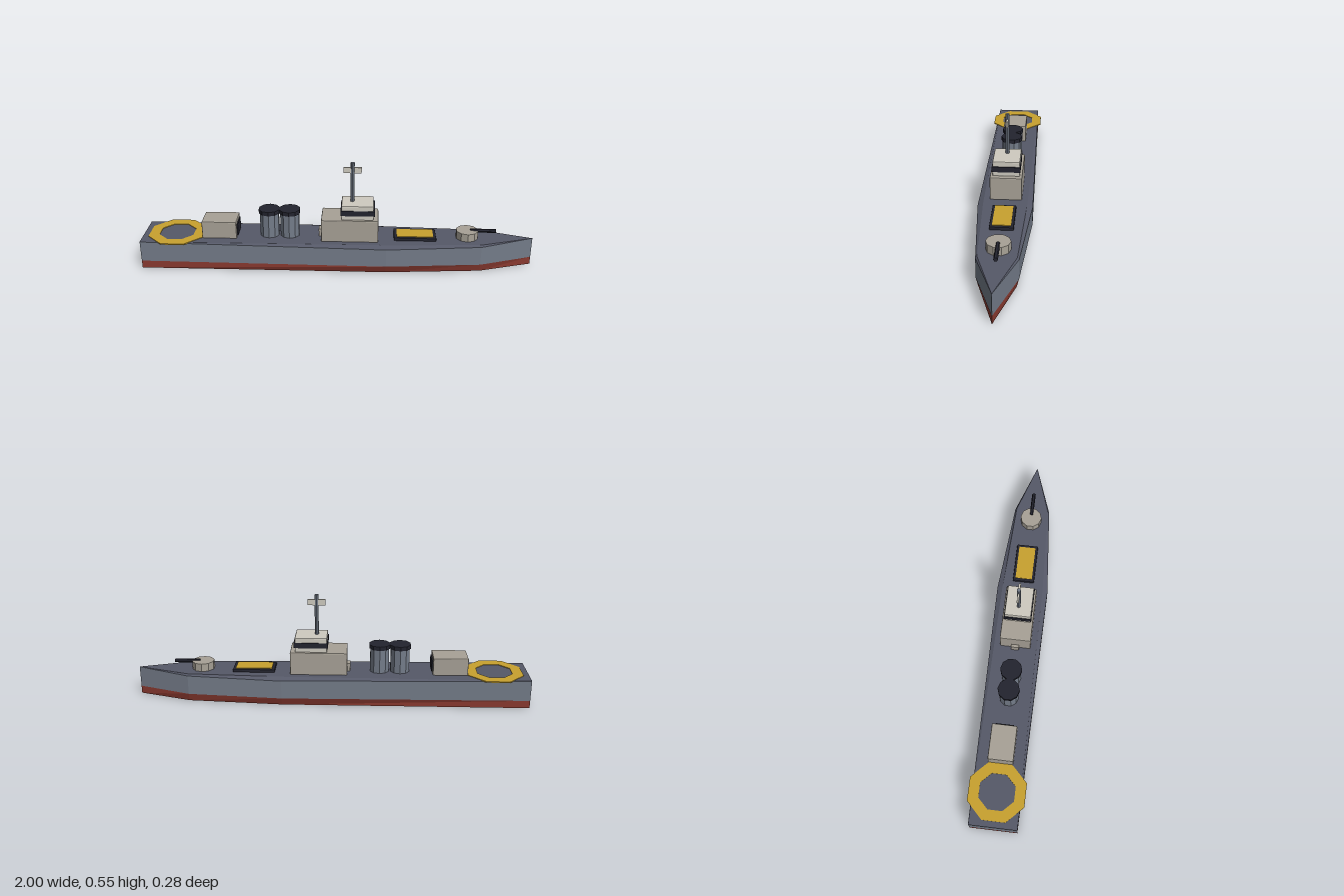
import * as THREE from 'three';
import { RoundedBoxGeometry } from 'three/addons/geometries/RoundedBoxGeometry.js';

const paint = (name, color) => {
  const m = new THREE.MeshStandardMaterial({ color });
  m.name = name;
  return m;
};

export function createModel() {
  const ship = new THREE.Group();
  ship.name = 'ship';

  const hullGrey = paint('hull grey', 0x747c89);
  const deckGrey = paint('deck grey', 0x565968);
  const red = paint('keel red', 0x8a3a30);
  const stone = paint('superstructure stone', 0xa8a297);
  const pale = paint('bridge pale', 0xcfcbc0);
  const dark = paint('dark trim', 0x23242f);
  const gold = paint('gold', 0xc9a22f);

  // Facet a geometry and add it as a named part
  const add = (name, geometry, material, x = 0, y = 0, z = 0) => {
    const g = geometry.index ? geometry.toNonIndexed() : geometry;
    g.computeVertexNormals();
    const mesh = new THREE.Mesh(g, material);
    mesh.name = name;
    mesh.position.set(x, y, z);
    ship.add(mesh);
    return mesh;
  };

  // Box given by its x and y ranges and its half width
  const box = (name, mat, x0, x1, y0, y1, half, bevel = 0.005) =>
    add(name, bevel
      ? new RoundedBoxGeometry(x1 - x0, y1 - y0, half * 2, 1, bevel)
      : new THREE.BoxGeometry(x1 - x0, y1 - y0, half * 2),
    mat, (x0 + x1) / 2, (y0 + y1) / 2);

  // Upright cylinder from y0 to y1
  const drum = (name, mat, x, y0, y1, r, sides) =>
    add(name, new THREE.CylinderGeometry(r, r, y1 - y0, sides), mat, x, (y0 + y1) / 2);

  // Quads between matching rows of points
  const surface = (name, mat, ...bands) => {
    const pts = [];
    for (const [a, b] of bands) {
      for (let i = 0; i < a.length - 1; i++) {
        pts.push(a[i], a[i + 1], b[i + 1], a[i], b[i + 1], b[i]);
      }
    }
    add(name, new THREE.BufferGeometry().setFromPoints(pts), mat);
  };

  // Hull stations from stern to bow
  const xs = [-1, 0.25, 0.73, 1];
  const row = (halves, heights) =>
    xs.map((x, i) => new THREE.Vector3(x, heights[i], halves[i]));
  const flip = (r) => r.map((p) => new THREE.Vector3(p.x, p.y, -p.z));
  const sides = (a, b) => [[a, b], [flip(b), flip(a)]];
  const transom = (a, b) =>
    [[flip(a)[0], a[0]], [flip(b)[0], b[0]]];

  const keel = row([0.12, 0.12, 0.085, 0], [0, 0, 0, 0]);
  const water = row([0.12, 0.135, 0.095, 0], [0.04, 0.04, 0.04, 0.04]);
  const shoulder = row([0.12, 0.135, 0.095, 0], [0.147, 0.135, 0.139, 0.147]);
  const rim = row([0.119, 0.108, 0.087, 0], [0.148, 0.148, 0.148, 0.148]);

  surface('lowerHull', red, ...sides(keel, water), [flip(keel), keel], transom(keel, water));
  surface('upperHull', hullGrey, ...sides(water, shoulder), transom(water, rim));
  surface('deckEdge', deckGrey, ...sides(shoulder, rim));
  surface('deck', deckGrey, [rim, flip(rim)]);

  const D = 0.146; // base height of the deck fittings

  // Landing ring on the stern
  const octagon = (path, r) => {
    for (let i = 0; i < 8; i++) {
      const a = (i + 0.5) * Math.PI / 4;
      path[i ? 'lineTo' : 'moveTo'](r * Math.cos(a), r * Math.sin(a));
    }
    path.closePath();
    return path;
  };
  const ringShape = octagon(new THREE.Shape(), 0.152);
  ringShape.holes.push(octagon(new THREE.Path(), 0.095));
  const ring = new THREE.ExtrudeGeometry(ringShape, { depth: 0.006, bevelEnabled: false });
  ring.rotateX(-Math.PI / 2);
  add('landingRing', ring, gold, -0.83, 0.145);

  // Aft house and its door
  box('aftHouse', stone, -0.69, -0.513, D, 0.239, 0.063);
  box('aftDoor', dark, -0.514, -0.507, 0.16, 0.22, 0.045, 0);

  // Funnels
  for (const x of [-0.348, -0.244]) {
    drum('funnel', hullGrey, x, D, 0.274, 0.05, 10);
    drum('funnelCap', dark, x, 0.272, 0.293, 0.055, 10);
  }

  // Bridge
  box('mainHouse', stone, -0.08, 0.209, D, 0.266, 0.079);
  box('rearLocker', stone, -0.095, -0.078, D, 0.19, 0.02, 0);
  box('bridge', pale, 0.022, 0.184, 0.262, 0.341, 0.067);
  box('bridgeWindows', dark, 0.018, 0.19, 0.288, 0.315, 0.07, 0);

  // Mast and yard
  drum('mast', hullGrey, 0.076, 0.33, 0.549, 0.01, 8);
  box('yard', pale, 0.031, 0.121, 0.494, 0.524, 0.005, 0);

  // Cargo hatch
  box('hatchFrame', dark, 0.29, 0.505, D, 0.164, 0.057);
  box('hatchCover', gold, 0.305, 0.49, 0.16, 0.167, 0.044, 0);

  // Bow turret
  drum('turret', stone, 0.664, D, 0.189, 0.057, 10);
  const barrel = add('barrel', new THREE.CylinderGeometry(0.01, 0.01, 0.13, 6), dark, 0.745, 0.186);
  barrel.rotation.z = -Math.PI / 2;

  return ship;
}
